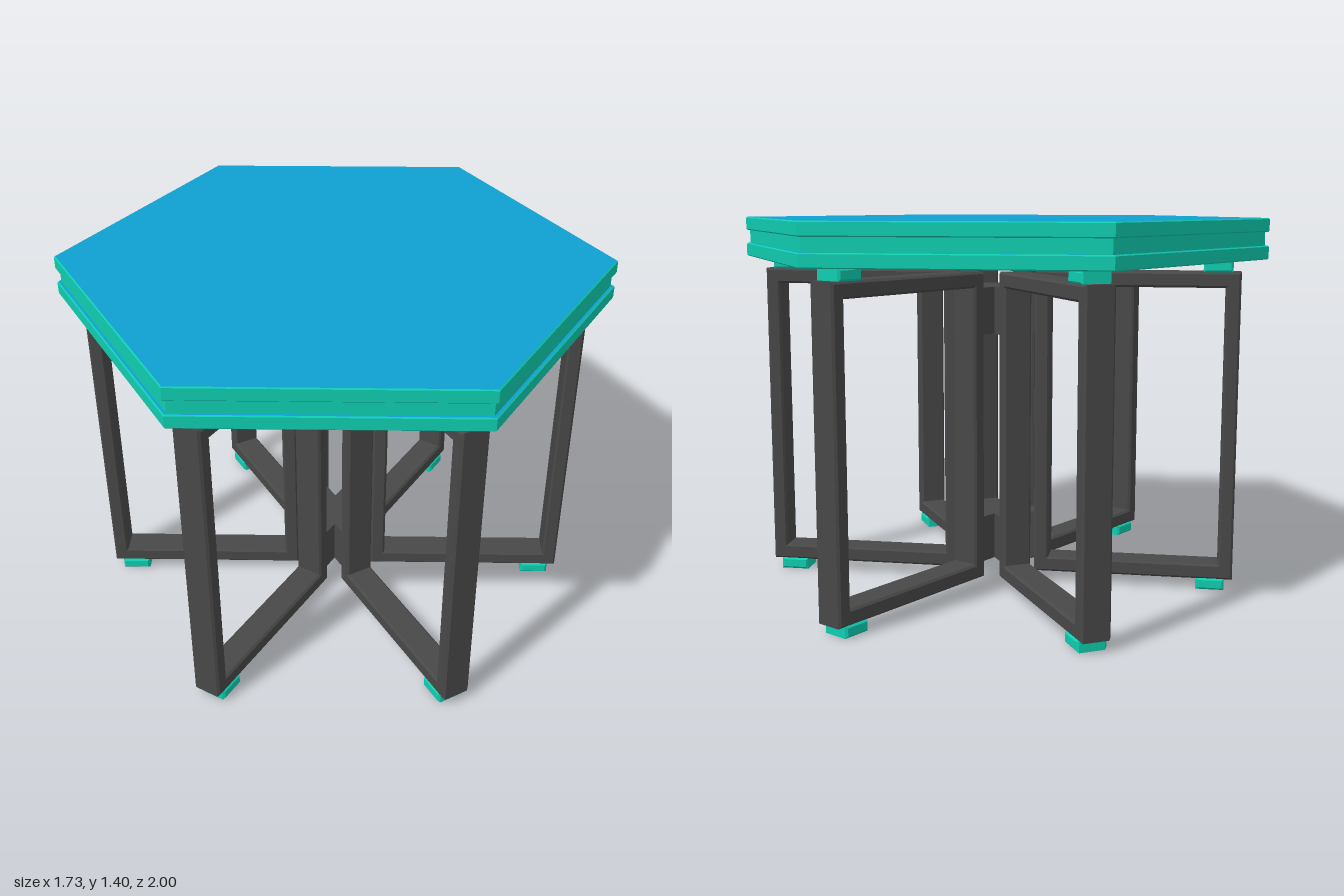
import * as THREE from 'three';

const teal = new THREE.MeshStandardMaterial({ color: 0x10cdb0 });
const blue = new THREE.MeshStandardMaterial({ color: 0x0fa0d0 });
const dark = new THREE.MeshStandardMaterial({ color: 0x484848 });

const WIDTH = 0.11; // width of every frame bar
const BEVEL = 0.008;

function rectangle(PathType, x0, y0, x1, y1) {
  return new PathType([[x0, y0], [x1, y0], [x1, y1], [x0, y1]].map(([x, y]) => new THREE.Vector2(x, y)));
}

// Extrusion with small chamfers that stay inside the given outline and depth, centred on z
function chamferedExtrude(shape, depth, bevel) {
  const geometry = new THREE.ExtrudeGeometry(shape, {
    depth: depth - 2 * bevel,
    bevelEnabled: true,
    bevelThickness: bevel,
    bevelSize: bevel,
    bevelOffset: -bevel,
    bevelSegments: 1,
  });
  return geometry.translate(0, 0, bevel - depth / 2);
}

function addMesh(parent, name, geometry, material) {
  const mesh = new THREE.Mesh(geometry, material);
  mesh.name = name;
  parent.add(mesh);
  return mesh;
}

// Hexagonal slab with corners on the z axis
function hexSlab(radius, height, bevel) {
  const corners = [];
  for (let i = 0; i < 6; i++) {
    const a = Math.PI / 2 + (i * Math.PI) / 3;
    corners.push(new THREE.Vector2(radius * Math.cos(a), radius * Math.sin(a)));
  }
  return chamferedExtrude(new THREE.Shape(corners), height, bevel).rotateX(-Math.PI / 2);
}

export function createModel() {
  const table = new THREE.Group();
  table.name = 'hexagonalTable';

  // Table top: two slabs with blue faces and teal edges, and a recessed core
  const top = new THREE.Group();
  top.name = 'tableTop';
  table.add(top);
  const slab = hexSlab(1, 0.05, 0.004);
  addMesh(top, 'upperSlab', slab, [blue, teal]).position.y = 1.375;
  addMesh(top, 'lowerSlab', slab, [blue, teal]).position.y = 1.275;
  addMesh(top, 'recessedCore', hexSlab(0.985, 0.052, 0.001), teal).position.y = 1.325;

  // Rectangular leg frame, drawn in the radius and height plane
  const outline = rectangle(THREE.Shape, 0.147, 0.042, 0.905, 1.205);
  outline.holes.push(rectangle(THREE.Path, 0.203, 0.1, 0.85, 1.147));
  const frameGeometry = chamferedExtrude(outline, WIDTH, BEVEL);

  const padGeometry = chamferedExtrude(rectangle(THREE.Shape, 0.768, 0, 0.875, 0.045), WIDTH, BEVEL);

  for (let i = 0; i < 6; i++) {
    const leg = new THREE.Group();
    leg.name = `leg${i + 1}`;
    leg.rotation.y = Math.PI / 2 + (i * Math.PI) / 3;
    addMesh(leg, 'legFrame', frameGeometry, dark);
    addMesh(leg, 'footPad', padGeometry, teal);
    addMesh(leg, 'topPad', padGeometry, teal).position.y = 1.203;
    table.add(leg);
  }

  // Crossing bars that join opposite frames near the floor and the top
  const jointGeometry = new THREE.BoxGeometry(0.31, 0.175, WIDTH - 2 * BEVEL);
  for (const y of [0.188, 1.058]) {
    const hub = new THREE.Group();
    hub.name = y < 0.5 ? 'lowerHub' : 'upperHub';
    hub.position.y = y;
    for (let i = 0; i < 3; i++) {
      addMesh(hub, 'hubBar', jointGeometry, dark).rotation.y = Math.PI / 2 + (i * Math.PI) / 3;
    }
    table.add(hub);
  }

  return table;
}
